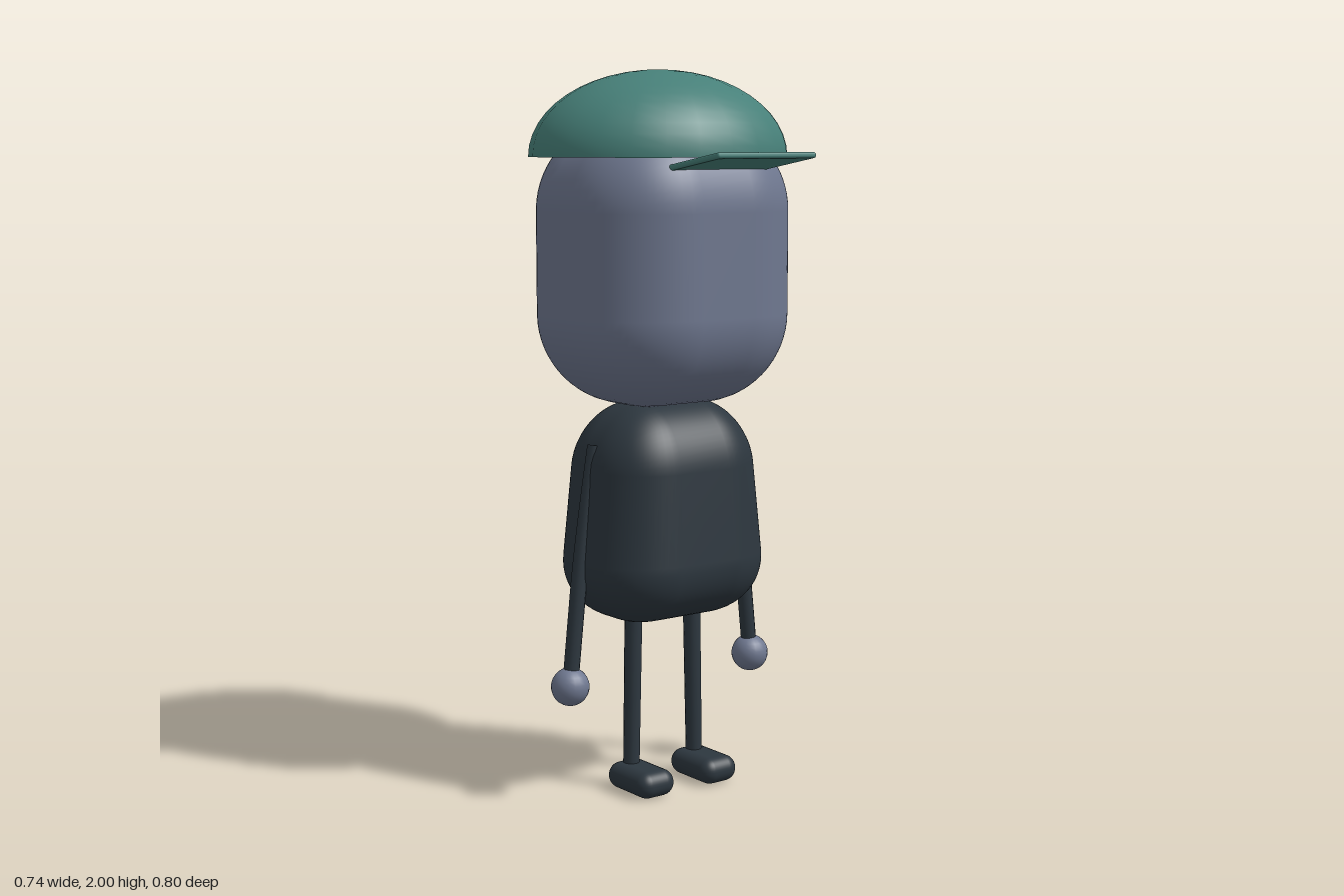
import * as THREE from 'three';
import { RoundedBoxGeometry } from 'three/addons/geometries/RoundedBoxGeometry.js';
import { mergeVertices } from 'three/addons/utils/BufferGeometryUtils.js';

const material = (name, color, extra = {}) => {
  const m = new THREE.MeshStandardMaterial({ color, ...extra });
  m.name = name;
  return m;
};

const Z = -0.055; // depth of the body's centre line

// rounded box whose width and depth shrink towards the top
function taperedBox(w, h, d, radius, taper) {
  const box = new RoundedBoxGeometry(w, h, d, 8, radius);
  box.deleteAttribute('uv');
  box.deleteAttribute('normal');
  const g = mergeVertices(box, 1e-5);
  const p = g.attributes.position;
  for (let i = 0; i < p.count; i++) {
    const s = 1 - taper * p.getY(i) / h;
    p.setX(i, p.getX(i) * s);
    p.setZ(i, p.getZ(i) * s);
  }
  g.computeVertexNormals();
  return g;
}

export function createModel() {
  const model = new THREE.Group();
  const skin = material('slate skin', 0x6f7890);
  const suit = material('dark suit', 0x2d373f);
  const cloth = material('teal cap', 0x478079, { side: THREE.DoubleSide });

  const add = (name, geometry, mat, x, y, z) => {
    const mesh = new THREE.Mesh(geometry, mat);
    mesh.name = name;
    mesh.position.set(x, y, z);
    model.add(mesh);
    return mesh;
  };

  // head and torso
  add('head', new RoundedBoxGeometry(0.67, 0.78, 0.59, 8, 0.25), skin, 0, 1.48, Z);
  add('torso', taperedBox(0.535, 0.61, 0.41, 0.18, 0.22), suit, 0, 0.795, Z);

  // hollow cap dome and its tilted brim
  const dome = new THREE.SphereGeometry(1, 24, 12, 0, Math.PI * 2, 0, Math.PI / 2);
  dome.scale(0.37, 0.235, 0.326);
  add('capDome', dome, cloth, 0, 1.765, -0.07);
  const brim = add('capBrim', new RoundedBoxGeometry(0.326, 0.016, 0.245, 3, 0.007), cloth, 0, 1.753, 0.278);
  brim.rotation.x = -0.16;

  for (const side of [-1, 1]) {
    const label = side > 0 ? 'left' : 'right';

    // arm with a gentle bend, ending in a ball hand
    const path = new THREE.CatmullRomCurve3([
      [0.228, 0.99], [0.25, 0.86], [0.28, 0.66], [0.298, 0.5], [0.315, 0.34],
    ].map(([x, y]) => new THREE.Vector3(side * x, y, 0)));
    add(label + 'Arm', new THREE.TubeGeometry(path, 16, 0.022, 12), suit, 0, 0, Z);
    const cap = add(label + 'Shoulder', new THREE.CircleGeometry(0.022, 12), suit, side * 0.228, 0.99, Z);
    cap.rotation.x = -Math.PI / 2;
    add(label + 'Hand', new THREE.SphereGeometry(0.053, 20, 14), skin, side * 0.316, 0.33, Z);

    // leg and shoe
    const leg = add(label + 'Leg', new THREE.CylinderGeometry(0.025, 0.023, 0.52, 14), suit, side * 0.106, 0.31, Z);
    leg.rotation.z = side * 0.02;
    add(label + 'Shoe', new RoundedBoxGeometry(0.12, 0.074, 0.19, 5, 0.036), suit, side * 0.11, 0.042, -0.01);
  }

  return model;
}
